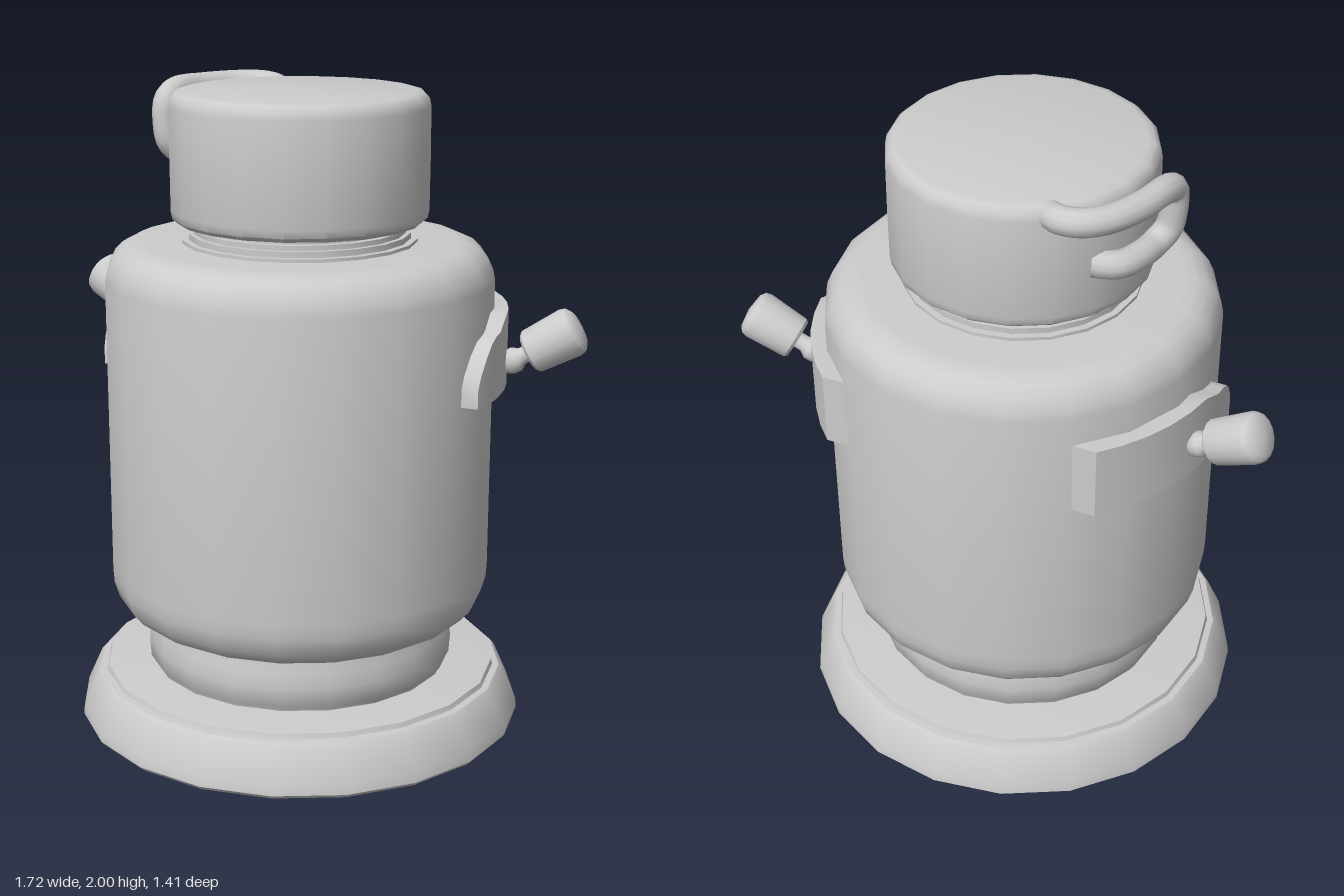
import * as THREE from 'three';
import { toCreasedNormals } from 'three/addons/utils/BufferGeometryUtils.js';

const grey = new THREE.MeshStandardMaterial({ color: 0xcccccc });

function part(name, geometry, parent, crease = 0.7) {
  const mesh = new THREE.Mesh(toCreasedNormals(geometry, crease), grey);
  mesh.name = name;
  parent.add(mesh);
  return mesh;
}

// Turned part from [radius, height] pairs, listed bottom to top
function turned(profile, sides = 20) {
  return new THREE.LatheGeometry(profile.map(([r, y]) => new THREE.Vector2(r, y)), sides);
}

// Curved plate wrapped around the +x side of the body
function plateGeometry() {
  const outline = [ // z, top height, running front to back
    [0.12, 1.15], [0.105, 1.19], [0.07, 1.24], [0.035, 1.275], [0, 1.29], [-0.04, 1.295],
    [-0.12, 1.33], [-0.2, 1.33], [-0.28, 1.33], [-0.35, 1.33], [-0.42, 1.33], [-0.475, 1.33]];
  const bottom = 1.095, positions = [], index = [];
  for (const [z, top] of outline) {
    const inner = Math.sqrt(0.57 ** 2 - z * z), outer = Math.sqrt(0.642 ** 2 - z * z);
    positions.push(outer, bottom, z, outer, top, z, inner, top, z, inner, bottom, z);
  }
  const quad = (a, b, c, d) => index.push(a, b, c, a, c, d);
  for (let i = 0; i < outline.length - 1; i++) {
    for (let k = 0; k < 4; k++) {
      const a = i * 4 + k, b = i * 4 + (k + 1) % 4;
      quad(a, a + 4, b + 4, b);
    }
  }
  const e = (outline.length - 1) * 4;
  quad(0, 1, 2, 3);
  quad(e + 3, e + 2, e + 1, e);
  const g = new THREE.BufferGeometry();
  g.setAttribute('position', new THREE.Float32BufferAttribute(positions, 3));
  g.setIndex(index);
  return g;
}

export function createModel() {
  const model = new THREE.Group();
  model.name = 'canister';

  // Flared base with a small raised step
  part('base', turned([
    [0, 0], [0.695, 0], [0.705, 0.012], [0.702, 0.04], [0.655, 0.145], [0.645, 0.155],
    [0.625, 0.157], [0.62, 0.172], [0.6, 0.175], [0, 0.175]]), model, 0.5);

  // Foot between base and body
  part('foot', turned([
    [0, 0.165], [0.47, 0.165], [0.472, 0.182], [0.483, 0.195], [0.487, 0.25], [0.483, 0.3],
    [0.473, 0.335], [0.473, 0.36]]), model);

  // Main body with rounded shoulders
  part('body', turned([
    [0, 0.345], [0.48, 0.345], [0.515, 0.35], [0.55, 0.37], [0.58, 0.405], [0.595, 0.455],
    [0.598, 0.5], [0.598, 1.42], [0.592, 1.45], [0.575, 1.487], [0.548, 1.513], [0.515, 1.527],
    [0.48, 1.53], [0, 1.53]]), model);

  // Stepped neck
  part('neck', turned([
    [0.36, 1.52], [0.36, 1.54], [0.34, 1.54], [0.34, 1.558], [0.325, 1.558], [0.325, 1.573],
    [0.305, 1.573], [0.305, 1.6]]), model, 0.5);

  // Lid
  part('lid', turned([
    [0, 1.587], [0.345, 1.587], [0.375, 1.592], [0.39, 1.605], [0.395, 1.63], [0.396, 1.8],
    [0.395, 1.94], [0.39, 1.965], [0.375, 1.98], [0.355, 1.985], [0, 1.985]]), model);

  // Looped handle: long upper run, drop, shorter lower run
  const path = new THREE.CatmullRomCurve3([
    [-0.2, 1.945, -0.29], [-0.25, 1.955, -0.322], [-0.31, 1.958, -0.318], [-0.37, 1.958, -0.27],
    [-0.425, 1.958, -0.17], [-0.452, 1.956, -0.07], [-0.458, 1.93, -0.01], [-0.458, 1.86, 0],
    [-0.448, 1.8, -0.005], [-0.425, 1.765, -0.04], [-0.405, 1.762, -0.12], [-0.37, 1.765, -0.19],
    [-0.3, 1.77, -0.22]].map(p => new THREE.Vector3(...p)));
  part('handle', new THREE.TubeGeometry(path, 48, 0.041, 12), model, 1);

  // Side plates and tilted knobs
  const axis = new THREE.Vector3(0.85, 0.5, -0.15).normalize();
  for (const side of [1, -1]) {
    const fitting = new THREE.Group();
    fitting.name = side > 0 ? 'leftFitting' : 'rightFitting';
    fitting.scale.x = side;
    model.add(fitting);
    part('plate', plateGeometry(), fitting, 0.6);

    const knob = new THREE.Group();
    knob.name = 'knob';
    knob.position.set(0.757, side > 0 ? 1.245 : 1.28, -0.2);
    knob.quaternion.setFromUnitVectors(new THREE.Vector3(0, 1, 0), axis);
    fitting.add(knob);
    part('grip', turned([
      [0, -0.085], [0.06, -0.085], [0.069, -0.076], [0.077, 0.055], [0.072, 0.073],
      [0.055, 0.085], [0, 0.092]], 16), knob);
    part('stem', turned([
      [0, -0.19], [0.025, -0.18], [0.039, -0.155], [0.039, -0.13], [0.026, -0.11],
      [0.026, -0.08]], 12), knob, 1);
  }
  return model;
}
